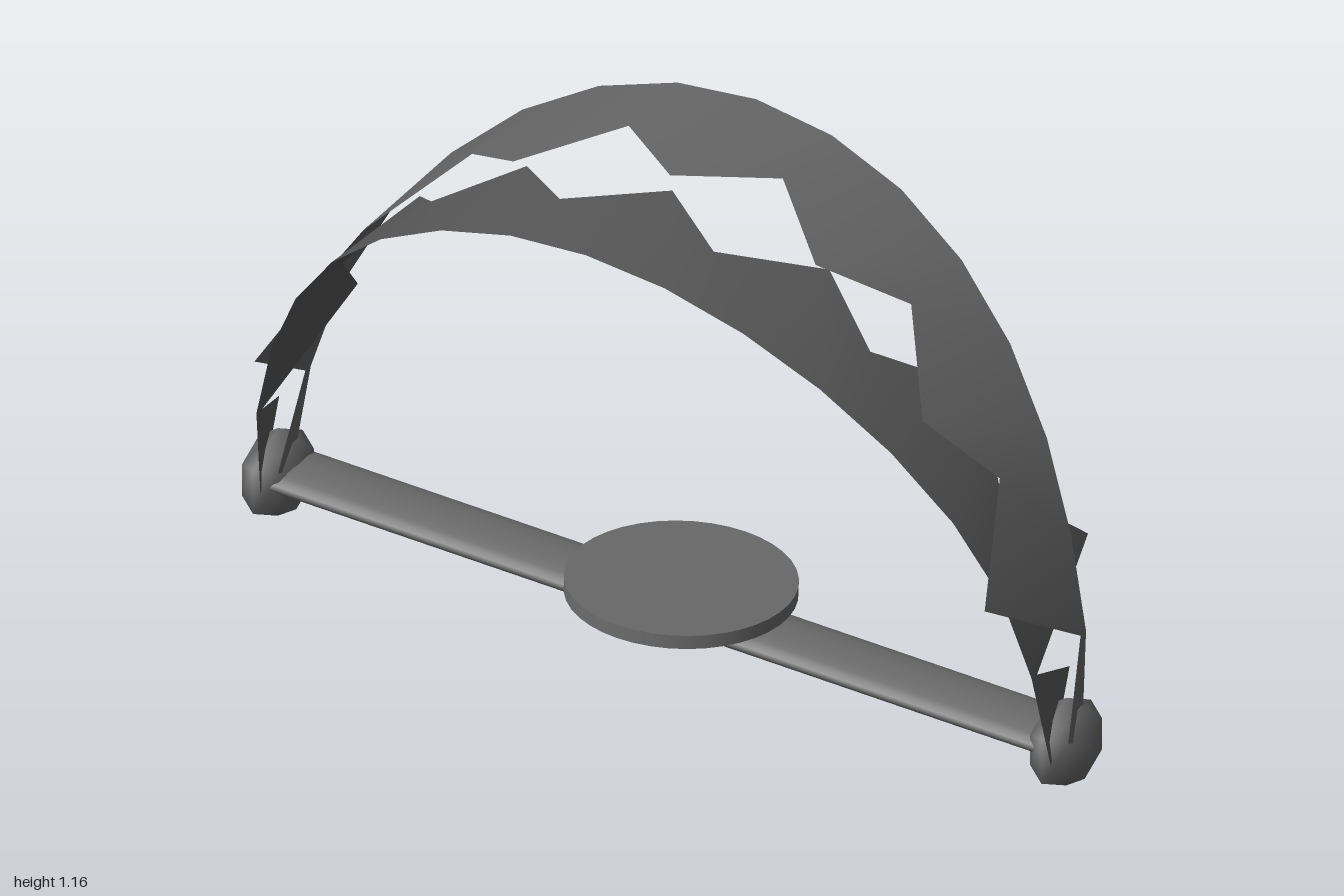
import * as THREE from 'three';

const steel = new THREE.MeshStandardMaterial({ color: 0x6a6a6a });
const frontSheet = new THREE.MeshStandardMaterial({ color: 0x585858, side: THREE.DoubleSide });
const backSheet = new THREE.MeshStandardMaterial({ color: 0x656565, side: THREE.DoubleSide });

// Half-jaw rims from the crown (0) down to the hinge (8)
const OUTER = [0.313, 0.307, 0.29, 0.26, 0.219, 0.172, 0.128, 0.1, 0.057];
const TEETH = [-0.004, 0.127, -0.025, 0.075, -0.103, 0, -0.19, 0.08];
const CENTRE_X = 0.017;

function add(group, name, geometry, material) {
  const mesh = new THREE.Mesh(geometry, material);
  mesh.name = name;
  group.add(mesh);
  return mesh;
}

// Thin arched strip: smooth outer rim, zigzag inner rim. side = +1 front, -1 back
function jawGeometry(side, height, endTooth) {
  const positions = [];
  const indices = [];
  for (let i = -8; i <= 8; i++) {
    const k = Math.abs(i);
    const angle = (i * Math.PI) / 16;
    const x = CENTRE_X + 0.94 * Math.sin(angle);
    const y = 0.13 + height * Math.cos(angle);
    if (k === 8) {
      // the last tooth at each hinge is bent sideways and upward
      positions.push(x, 0.1, side * OUTER[k]);
      positions.push(x + endTooth.dx, endTooth.y, endTooth.z);
    } else {
      positions.push(x, y, side * OUTER[k]);
      positions.push(x, y - 0.042 * (OUTER[k] - TEETH[k]), side * TEETH[k]);
    }
  }
  for (let i = 0; i < 16; i++) {
    const a = i * 2;
    if (side > 0) indices.push(a, a + 2, a + 1, a + 1, a + 2, a + 3);
    else indices.push(a, a + 1, a + 2, a + 1, a + 3, a + 2);
  }
  const geometry = new THREE.BufferGeometry();
  geometry.setAttribute('position', new THREE.Float32BufferAttribute(positions, 3));
  geometry.setIndex(indices);
  geometry.computeVertexNormals();
  return geometry;
}

export function createModel() {
  const group = new THREE.Group();
  group.name = 'jawTrap';

  // Toothed jaws
  add(group, 'frontJaw', jawGeometry(1, 0.988, { dx: -0.07, y: 0.22, z: -0.12 }), frontSheet);
  add(group, 'backJaw', jawGeometry(-1, 1.028, { dx: 0.04, y: 0.165, z: 0.055 }), backSheet);

  // Flattened base bar
  const bar = add(group, 'baseBar', new THREE.CylinderGeometry(1, 1, 1.87, 24).rotateZ(Math.PI / 2), steel);
  bar.scale.set(1, 0.028, 0.078);
  bar.position.set(0, 0.114, -0.037);

  // Slightly tilted trigger plate
  const plate = add(group, 'triggerPlate', new THREE.CylinderGeometry(0.235, 0.235, 0.03, 40), steel);
  plate.position.set(0.015, 0.158, -0.04);
  plate.rotation.x = -0.053;

  // Six-sided knobs at the hinges, corners pointing up and down
  for (const [name, x] of [['leftHinge', 0.935], ['rightHinge', -0.94]]) {
    const knob = add(group, name, new THREE.SphereGeometry(1, 6, 4).rotateZ(Math.PI / 2), steel);
    knob.scale.set(0.062, 0.103, 0.105);
    knob.position.set(x, 0.104, -0.033);
  }
  return group;
}
